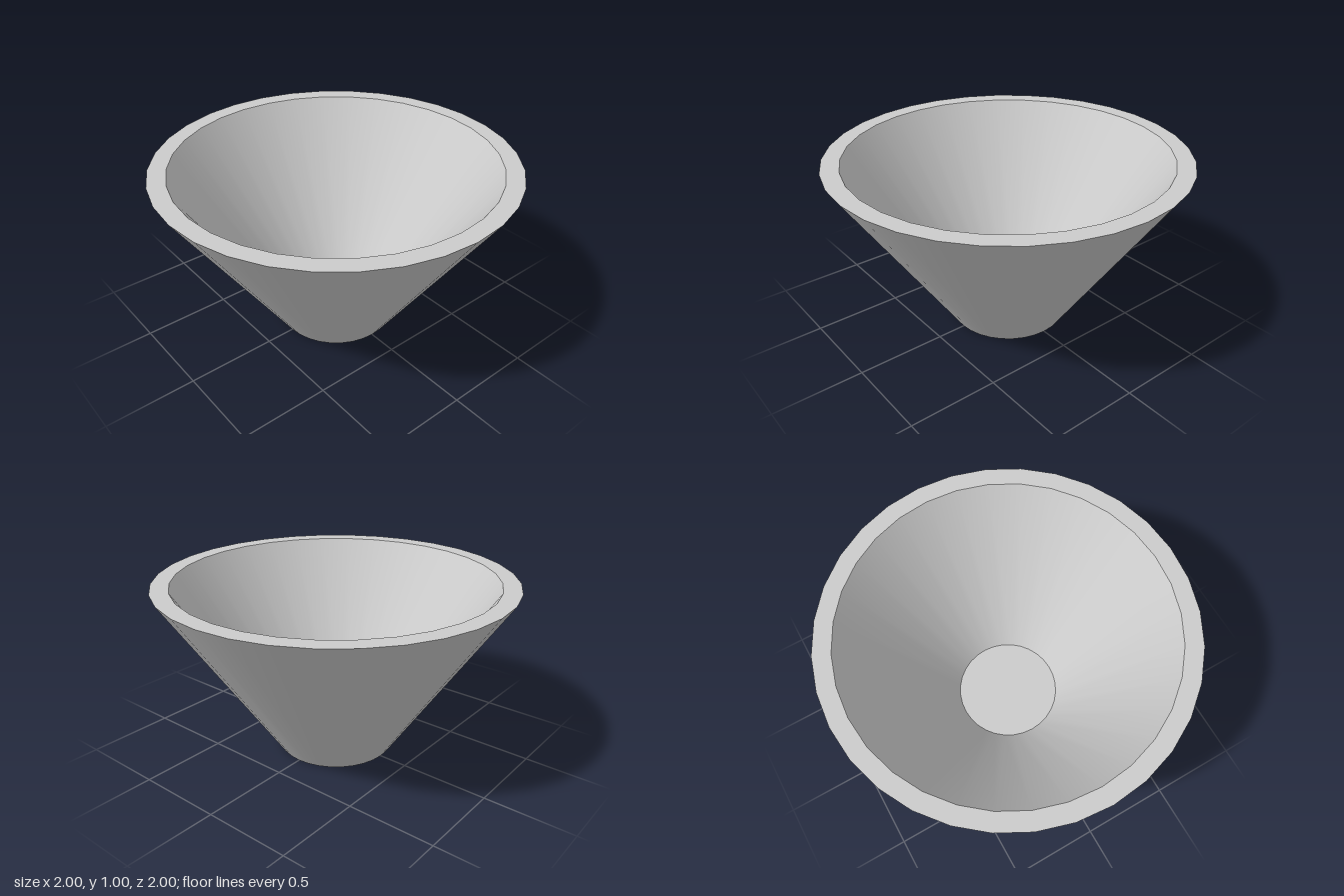
import * as THREE from 'three';

const SIDES = 32;

export function createModel() {
  const group = new THREE.Group();
  group.name = 'taperedBowl';
  const material = new THREE.MeshStandardMaterial({ color: 0xcccccc });

  // Profile corners [radius, height], from the base centre round to the floor centre
  const profile = [[0, 0], [0.333, 0], [1, 1], [0.9, 1], [0.3, 0.1], [0, 0.1]];
  const names = ['base', 'outerWall', 'rim', 'innerWall', 'floor'];

  // One smooth band per profile edge, so the corners between bands stay sharp
  names.forEach((name, i) => {
    const edge = [profile[i], profile[i + 1]].map(([r, y]) => new THREE.Vector2(r, y));
    const mesh = new THREE.Mesh(new THREE.LatheGeometry(edge, SIDES), material);
    mesh.name = name;
    group.add(mesh);
  });

  return group;
}
